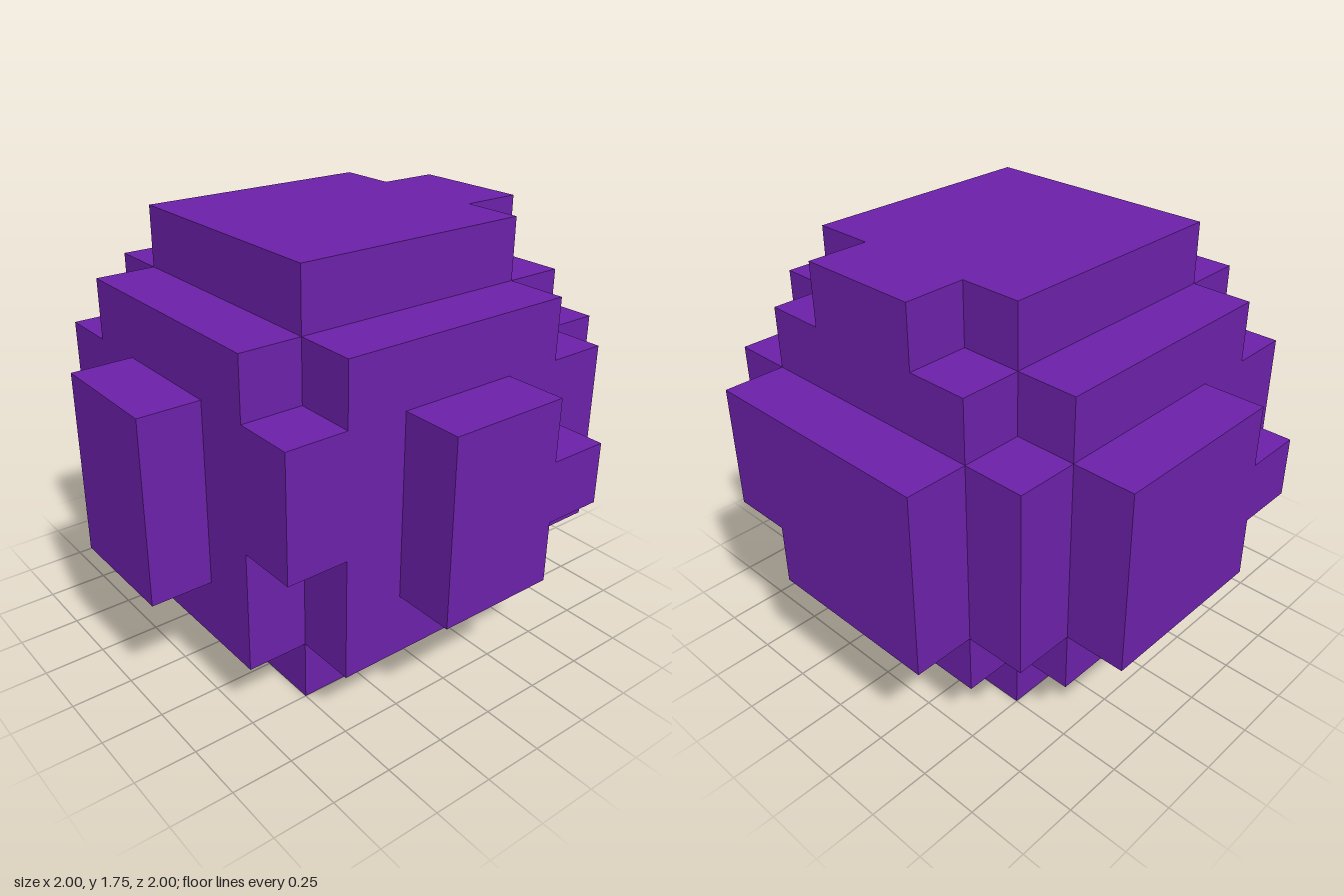
import * as THREE from 'three';

const U = 0.25; // one block; outlines below are given in blocks

export function createModel() {
  const model = new THREE.Group();
  model.name = 'blockBall';
  const purple = new THREE.MeshStandardMaterial({ color: 0x6b21a8 });
  purple.name = 'purple';

  // Extrudes an outline from a to b along one axis.
  // Outline pairs: y -> (x, z), z -> (x, y), x -> (z, y)
  function slab(name, axis, outline, a, b) {
    const pts = outline.map(([p, q]) => {
      if (axis === 'y') return new THREE.Vector2(p * U, -q * U);
      if (axis === 'x') return new THREE.Vector2(-p * U, q * U);
      return new THREE.Vector2(p * U, q * U);
    });
    const geo = new THREE.ExtrudeGeometry(new THREE.Shape(pts), { depth: (b - a) * U, bevelEnabled: false });
    geo.translate(0, 0, a * U);
    if (axis === 'y') geo.rotateX(-Math.PI / 2);
    if (axis === 'x') geo.rotateY(Math.PI / 2);
    const mesh = new THREE.Mesh(geo, purple);
    mesh.name = name;
    model.add(mesh);
  }

  const rect = (x0, y0, x1, y1) => [[x0, y0], [x1, y0], [x1, y1], [x0, y1]];
  const cross = [
    [-2, -3], [2, -3], [2, -2], [3, -2], [3, 2], [2, 2],
    [2, 3], [-2, 3], [-2, 2], [-3, 2], [-3, -2], [-2, -2],
  ];

  // Horizontal layers, bottom to top
  slab('base', 'y', rect(-2, -2, 2, 2), 0, 1);
  slab('lowerBody', 'y', cross, 1, 2);
  slab('middleBodyNotched', 'y', [[-3, -3], [3, -3], [3, 3], [-2, 3], [-2, 2], [-3, 2]], 2, 3);
  slab('middleBody', 'y', rect(-3, -3, 3, 3), 3, 5);
  slab('upperBody', 'y', cross, 5, 6);
  slab('topCap', 'y', [[-2, -2], [2, -2], [2, -1], [3, -1], [3, 1], [2, 1], [2, 2], [-2, 2]], 6, 7);

  // Raised plates on the four sides
  slab('frontPlate', 'z', [[-1, 2], [1, 2], [1, 3], [2, 3], [2, 4], [1, 4], [1, 5], [-1, 5]], 3, 4);
  slab('backPlate', 'z', [[2, 2], [-1, 2], [-1, 3], [-2, 3], [-2, 4], [-1, 4], [-1, 5], [2, 5]], -4, -3);
  slab('leftPlate', 'x', [[-2, 2], [1, 2], [1, 3], [2, 3], [2, 5], [-2, 5]], 3, 4);
  slab('rightPlate', 'x', rect(-1, 2, 1, 5), -4, -3);

  return model;
}
